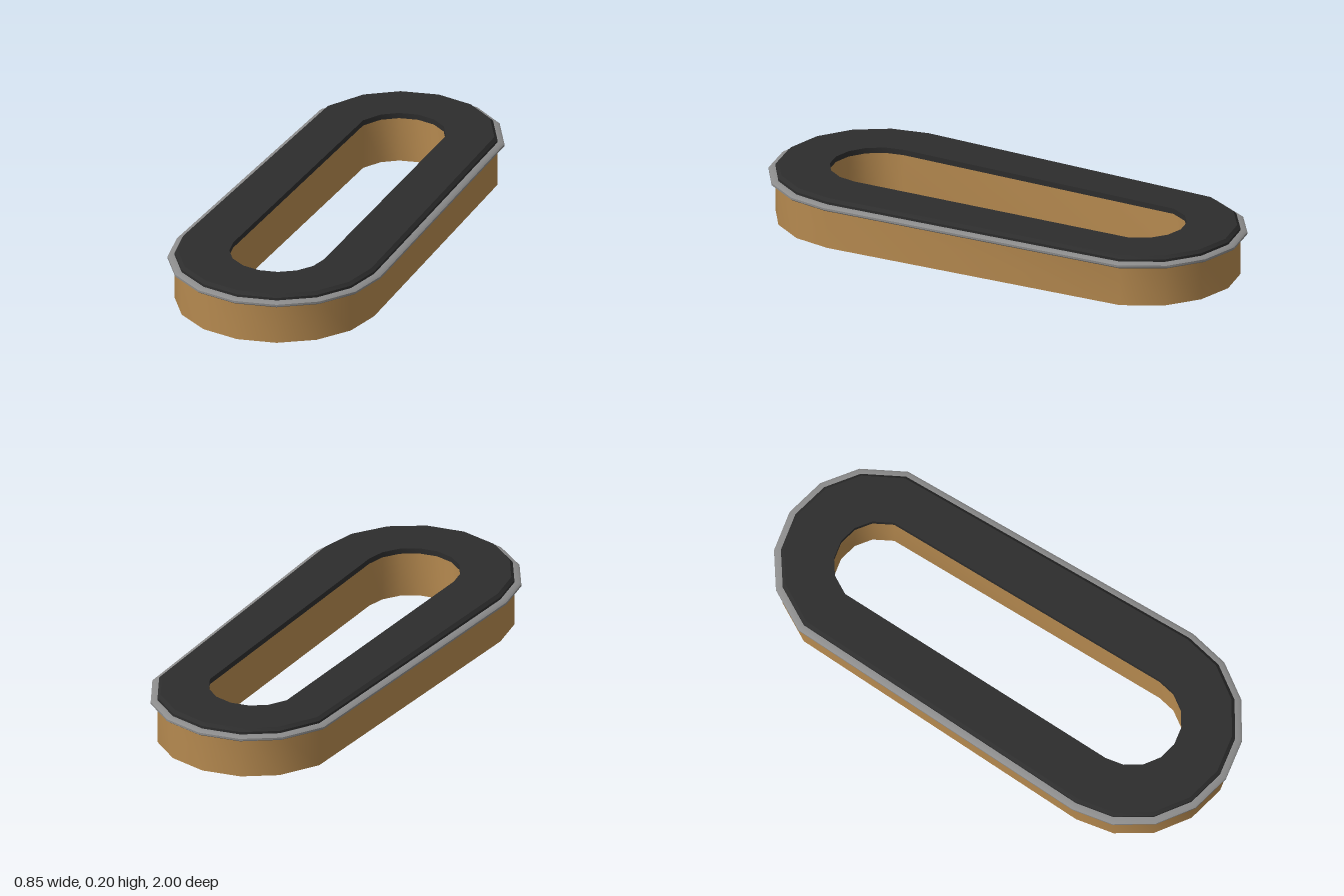
import * as THREE from 'three';
import { toCreasedNormals } from 'three/addons/utils/BufferGeometryUtils.js';

// Tapered oval outline at height y: a wide front arc and a narrower back arc
function outline(front, back, backZ, y) {
  const pts = [];
  for (let i = 0; i <= 8; i++) {
    const a = (i * Math.PI) / 8;
    pts.push([front * Math.cos(a), y, 0.57 + front * Math.sin(a)]);
  }
  for (const deg of [195.8, 222.8, 246, 270, 294, 317.2, 344.2]) {
    const a = THREE.MathUtils.degToRad(deg);
    pts.push([back * Math.cos(a), y, backZ + back * Math.sin(a)]);
  }
  return pts;
}
const outer = (d, y) => outline(0.4 + d, 0.374 + d, -0.6, y);
const inner = (y) => outline(0.19, 0.18, -0.585, y);

// Skin a sequence of outlines into a surface
function loft(rings) {
  const n = rings[0].length;
  const index = [];
  for (let j = 0; j < rings.length - 1; j++) {
    for (let i = 0; i < n; i++) {
      const k = (i + 1) % n;
      const a = j * n + i, b = a + n, c = (j + 1) * n + k, d = j * n + k;
      index.push(a, b, c, a, c, d);
    }
  }
  const g = new THREE.BufferGeometry();
  g.setAttribute('position', new THREE.Float32BufferAttribute(rings.flat(2), 3));
  g.setIndex(index);
  return toCreasedNormals(g, THREE.MathUtils.degToRad(40));
}

export function createModel() {
  const group = new THREE.Group();
  const add = (name, color, rings) => {
    const mesh = new THREE.Mesh(loft(rings), new THREE.MeshStandardMaterial({ color }));
    mesh.name = name;
    group.add(mesh);
  };

  // Wooden outer and inner walls
  add('woodenBody', 0xb5894f, [outer(0, 0), outer(0, 0.18), inner(0.18), inner(0)]);

  // Flat underside
  add('base', 0x444444, [inner(0), outer(0, 0)]);

  // Rounded metal band around the top of the outer wall
  add('trimBand', 0x8c8c8c, [
    outer(-0.005, 0.16), outer(0.019, 0.16), outer(0.027, 0.166),
    outer(0.027, 0.174), outer(0.019, 0.18), outer(-0.005, 0.18),
  ]);

  // Dark top with a bevelled outer edge
  add('topPanel', 0x2d2d2d, [
    outer(0, 0.18), outer(0, 0.19), outer(-0.012, 0.202), inner(0.202), inner(0.18),
  ]);

  return group;
}
